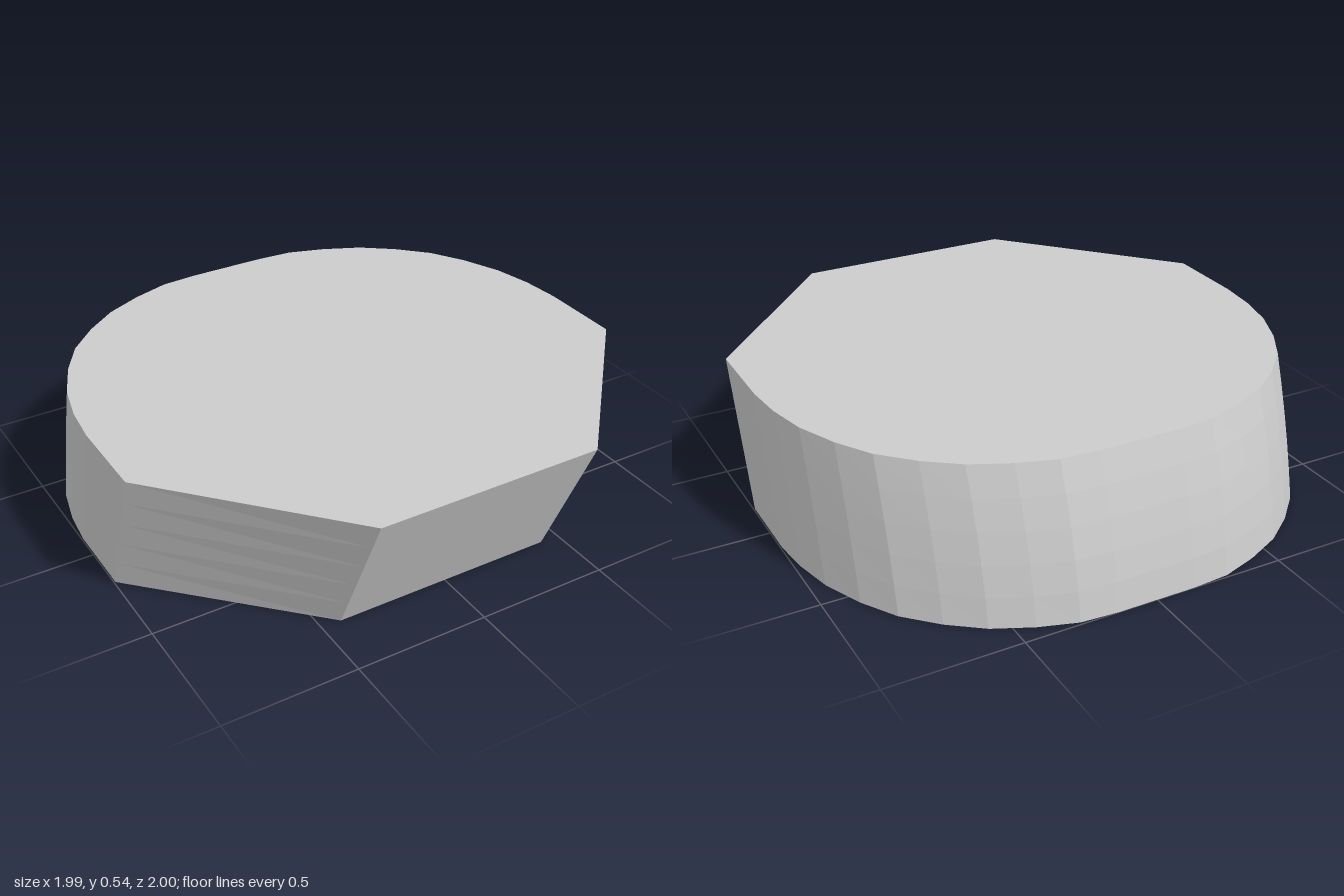
import * as THREE from 'three';

const HEIGHT = 0.535;

// Half of the top outline as [x, z], front to back
const HALF = [
  [0.425, 1], [0.995, 0.37], [0.995, 0.05], [0.98, -0.1], [0.945, -0.25],
  [0.88, -0.4], [0.8, -0.53], [0.69, -0.64], [0.57, -0.73], [0.43, -0.795],
  [0.29, -0.84], [0.15, -0.85],
];

export function createModel() {
  const group = new THREE.Group();
  group.name = 'slantedBlock';

  // Mirrored outline, drawn with y = -z so it can be laid flat
  const mirrored = HALF.map(([x, z]) => [-x, z]).reverse();
  const shape = new THREE.Shape([...HALF, ...mirrored].map(([x, z]) => new THREE.Vector2(x, -z)));
  const geometry = new THREE.ExtrudeGeometry(shape, { depth: HEIGHT, steps: 5, bevelEnabled: false });
  geometry.rotateX(-Math.PI / 2);

  // Slant the walls backwards towards the base, with a slight bulge at the back
  const pos = geometry.attributes.position;
  for (let i = 0; i < pos.count; i++) {
    const z = pos.getZ(i);
    const t = 1 - pos.getY(i) / HEIGHT;
    const slant = (0.15 + 0.077 * Math.max(0, z + 0.1)) * t;
    const bulge = 0.07 * t * (1 - t) * Math.max(0, -z / 0.85);
    pos.setZ(i, z - slant - bulge);
  }
  geometry.computeVertexNormals();

  const body = new THREE.Mesh(
    geometry,
    new THREE.MeshStandardMaterial({ color: 0xcccccc, flatShading: true }),
  );
  body.name = 'body';
  group.add(body);
  return group;
}
